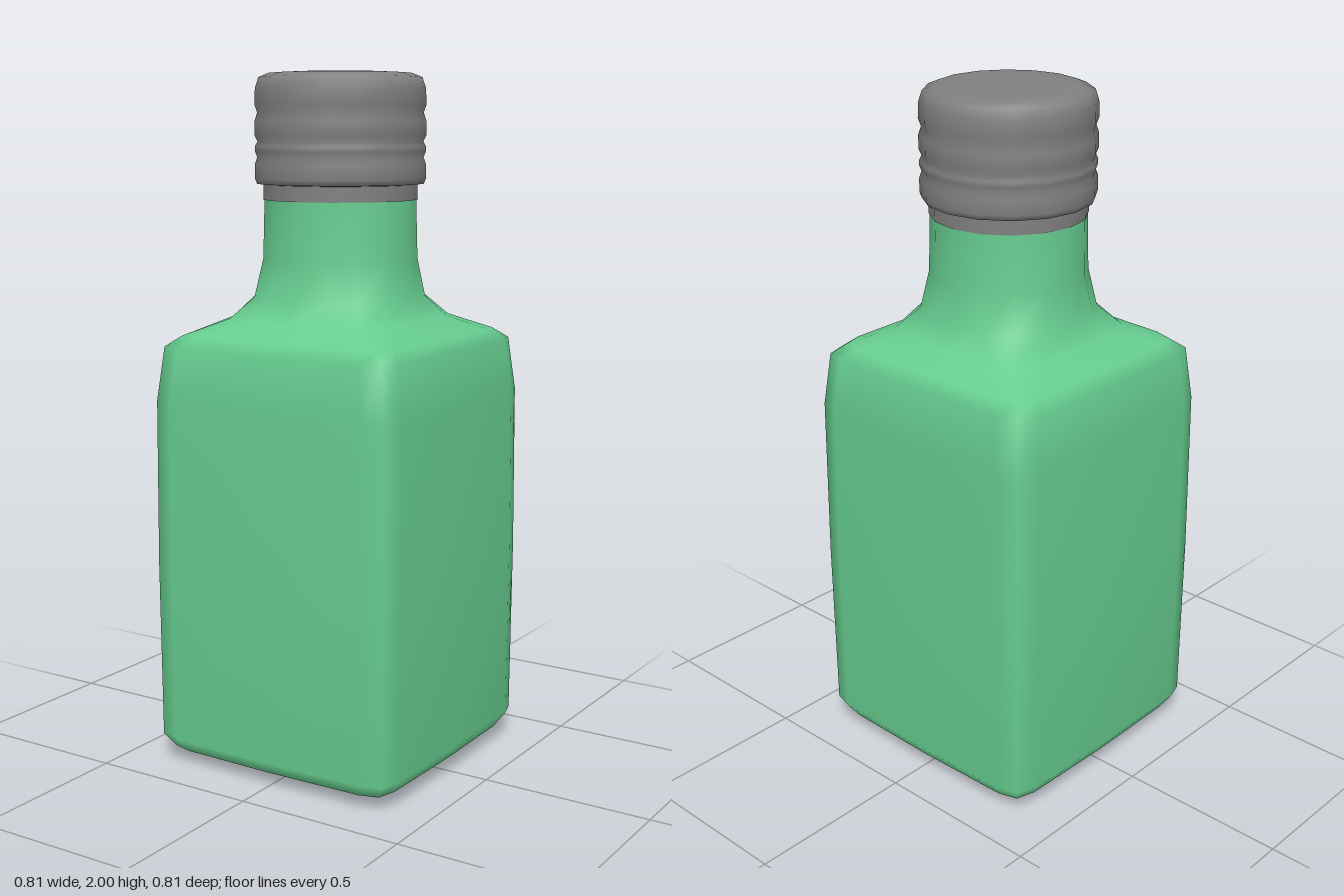
import * as THREE from 'three';

const SIDES = 16;
// One quadrant of the rounded-square section, for a half width of 1
const QUADRANT = [[1, 0], [0.985, 0.79], [0.94, 0.94], [0.79, 0.985]];

// Point k of a ring: a circle blended towards the rounded square
function ringPoint(k, half, squareness) {
  const a = (k / SIDES) * Math.PI * 2;
  const [u, v] = QUADRANT[k % 4];
  const [x, z] = [[u, v], [-v, u], [-u, -v], [v, -u]][Math.floor(k / 4)];
  return [
    half * THREE.MathUtils.lerp(Math.cos(a), x, squareness),
    half * THREE.MathUtils.lerp(Math.sin(a), z, squareness),
  ];
}

// Smooth skin over rings of [y, half width, squareness], listed upwards
function loft(rings, capBottom, capTop) {
  const pos = [];
  const index = [];
  for (const [y, half, sq] of rings) {
    for (let k = 0; k < SIDES; k++) {
      const [x, z] = ringPoint(k, half, sq);
      pos.push(x, y, z);
    }
  }
  for (let r = 0; r < rings.length - 1; r++) {
    for (let k = 0; k < SIDES; k++) {
      const a = r * SIDES + k;
      const b = r * SIDES + ((k + 1) % SIDES);
      index.push(a, a + SIDES, b, b, a + SIDES, b + SIDES);
    }
  }
  const close = (y, start, up) => {
    const c = pos.length / 3;
    pos.push(0, y, 0);
    for (let k = 0; k < SIDES; k++) {
      const a = start + k;
      const b = start + ((k + 1) % SIDES);
      if (up) index.push(c, b, a);
      else index.push(c, a, b);
    }
  };
  if (capBottom !== null) close(capBottom, 0, false);
  if (capTop !== null) close(capTop, (rings.length - 1) * SIDES, true);
  const geo = new THREE.BufferGeometry();
  geo.setAttribute('position', new THREE.Float32BufferAttribute(pos, 3));
  geo.setIndex(index);
  geo.computeVertexNormals();
  return geo;
}

export function createModel() {
  const group = new THREE.Group();
  const glass = new THREE.MeshStandardMaterial({ color: 0x66cc8f, side: THREE.DoubleSide });
  const metal = new THREE.MeshStandardMaterial({ color: 0x808080, side: THREE.DoubleSide });
  const add = (name, geo, mat) => {
    const mesh = new THREE.Mesh(geo, mat);
    mesh.name = name;
    group.add(mesh);
  };

  // Square body, sloping shoulders and round neck in one skin
  add('bottleBody', loft([
    [0.008, 0.2, 1],
    [0.02, 0.31, 1],
    [0.04, 0.375, 1],
    [0.08, 0.402, 1],
    [0.6, 0.405, 1],
    [1.08, 0.402, 1],
    [1.235, 0.384, 1],
    [1.265, 0.35, 0.95],
    [1.31, 0.27, 0.6],
    [1.37, 0.235, 0.2],
    [1.48, 0.224, 0],
    [1.65, 0.219, 0],
  ], 0, null), glass);

  // Plain collar below the cap
  add('collar', loft([[1.645, 0.222, 0], [1.7, 0.222, 0]], null, null), metal);

  // Screw cap with three grooves
  add('cap', loft([
    [1.688, 0.222, 0],
    [1.69, 0.24, 0],
    [1.705, 0.246, 0],
    [1.745, 0.246, 0],
    [1.765, 0.239, 0],
    [1.78, 0.245, 0],
    [1.795, 0.245, 0],
    [1.808, 0.238, 0],
    [1.825, 0.246, 0],
    [1.865, 0.246, 0],
    [1.888, 0.238, 0],
    [1.91, 0.246, 0],
    [1.955, 0.244, 0],
    [1.985, 0.234, 0],
    [1.997, 0.205, 0],
    [2.0, 0.15, 0],
  ], null, 1.998), metal);

  return group;
}
